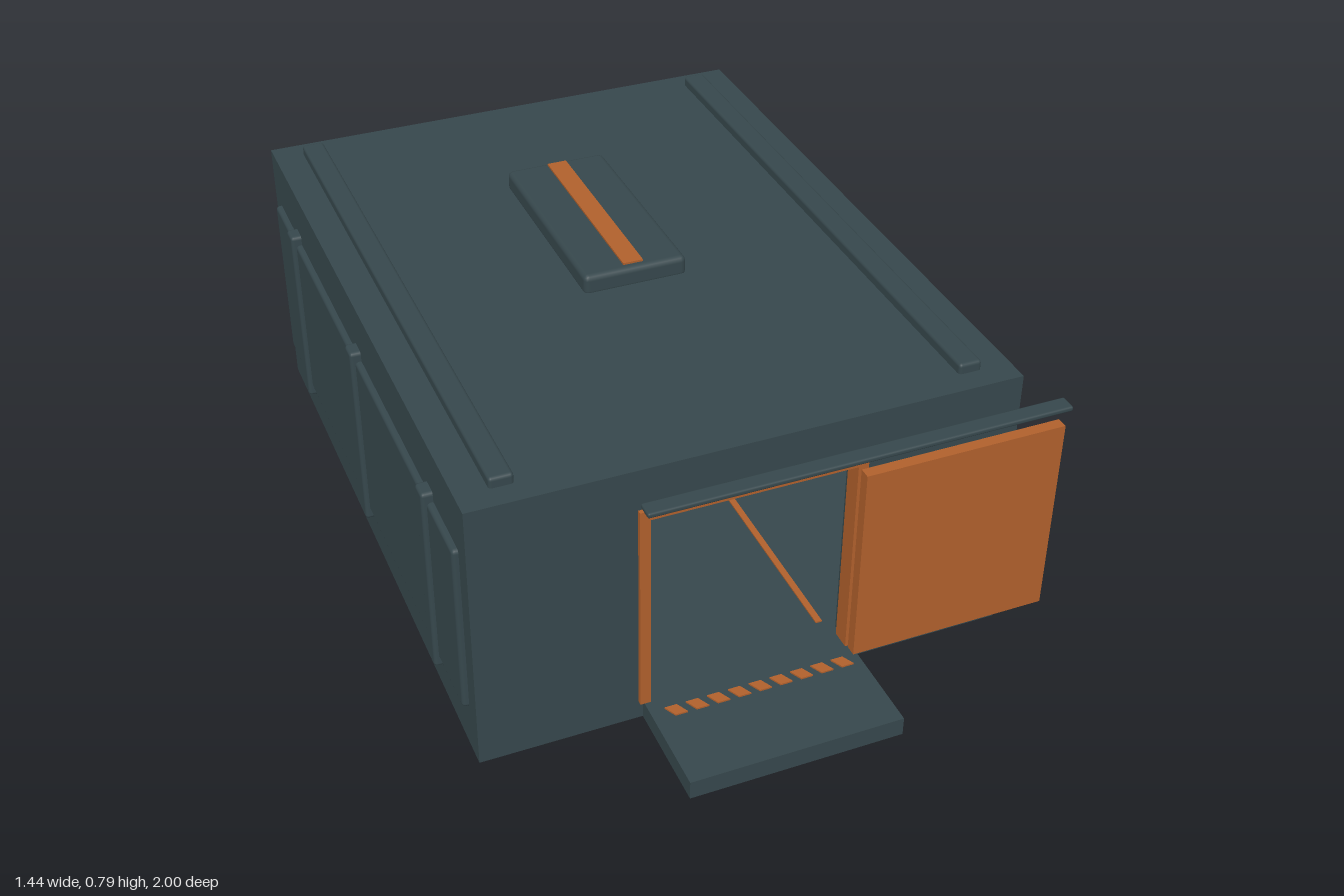
import * as THREE from 'three';
import { RoundedBoxGeometry } from 'three/addons/geometries/RoundedBoxGeometry.js';

export function createModel() {
  const model = new THREE.Group();
  model.name = 'shelterModule';

  const mat = (name, color) => {
    const m = new THREE.MeshStandardMaterial({ color });
    m.name = name;
    return m;
  };
  const hull = mat('slate hull', 0x36474c);
  const orange = mat('burnt orange', 0xb0602c);
  const teal = mat('teal display', 0x6cc4a5);

  const add = (name, geometry, material) => {
    const mesh = new THREE.Mesh(geometry, material);
    mesh.name = name;
    model.add(mesh);
    return mesh;
  };
  // Box given by its limits; a bevel radius rounds its edges
  const box = (name, material, [x0, x1], [y0, y1], [z0, z1], bevel = 0) => {
    const s = [x1 - x0, y1 - y0, z1 - z0];
    const g = bevel ? new RoundedBoxGeometry(...s, 2, bevel) : new THREE.BoxGeometry(...s);
    add(name, g, material).position.set((x0 + x1) / 2, (y0 + y1) / 2, (z0 + z1) / 2);
  };
  const rectangle = (Type, x0, x1, y0, y1) => new Type([
    [x0, y0], [x1, y0], [x1, y1], [x0, y1],
  ].map(([x, y]) => new THREE.Vector2(x, y)));

  const CX = -0.045; // middle of the hull in x
  const BACK = -0.94, FRONT = 0.727;
  const inner = [-0.61, 0.52];

  // Hull: a rectangular sleeve closed by a back wall and a front wall with a doorway
  const sleeve = rectangle(THREE.Shape, -0.695, 0.605, 0.037, 0.74);
  sleeve.holes.push(rectangle(THREE.Path, inner[0], inner[1], 0.085, 0.68));
  const sleeveGeo = new THREE.ExtrudeGeometry(sleeve, { depth: FRONT - BACK, bevelEnabled: false });
  add('hullSleeve', sleeveGeo.translate(0, 0, BACK), hull);
  box('backWall', hull, inner, [0.085, 0.68], [BACK, BACK + 0.07]);
  const frontWall = new THREE.Shape([
    [inner[0], 0.085], [-0.3, 0.085], [-0.3, 0.615], [0.21, 0.615],
    [0.21, 0.085], [inner[1], 0.085], [inner[1], 0.68], [inner[0], 0.68],
  ].map(([x, y]) => new THREE.Vector2(x, y)));
  const frontGeo = new THREE.ExtrudeGeometry(frontWall, { depth: 0.06, bevelEnabled: false });
  add('frontWall', frontGeo.translate(0, 0, FRONT - 0.06), hull);

  // Doorway frame, sliding door and its rail
  box('leftDoorPost', orange, [-0.315, -0.29], [0.085, 0.61], [0.69, 0.738]);
  box('rightDoorPost', orange, [0.2, 0.225], [0.085, 0.61], [0.69, 0.738]);
  box('doorLintel', orange, [-0.315, 0.225], [0.61, 0.635], [0.69, 0.738]);
  box('slidingDoor', orange, [0.205, 0.705], [0.085, 0.605], [0.742, 0.77]);
  box('doorRail', hull, [-0.31, 0.72], [0.641, 0.654], [0.727, 0.77], 0.005);

  // Entry step with slanted warning marks
  box('entryStep', hull, [-0.305, 0.215], [0.037, 0.085], [FRONT, 1]);
  for (let i = 0; i < 9; i++) {
    const mark = new THREE.Shape();
    mark.moveTo(0, 0);
    mark.lineTo(0.03, 0);
    mark.lineTo(0.045, 0.03);
    mark.lineTo(0.015, 0.03);
    mark.closePath();
    const g = new THREE.ExtrudeGeometry(mark, { depth: 0.004, bevelEnabled: false });
    g.rotateX(Math.PI / 2);
    add('warningMark', g.translate(-0.27 + i * 0.052, 0.089, 0.77), orange);
  }

  // Roof rails and ground skids
  for (const side of [-1, 1]) {
    const railX = CX + side * 0.5475, skidX = CX + side * 0.505;
    box('roofRail', hull, [railX - 0.028, railX + 0.028], [0.73, 0.765], [-0.89, 0.67], 0.008);
    box('groundSkid', hull, [skidX - 0.05, skidX + 0.05], [0, 0.045], [-0.845, 0.64], 0.01);
  }

  // Roof hatch with a light strip
  box('roofHatch', hull, [-0.175, 0.085], [0.73, 0.785], [-0.52, 0.045], 0.014);
  box('hatchStrip', orange, [-0.07, -0.02], [0.782, 0.79], [-0.505, 0.025]);

  // Side panels with three ribs each
  for (const side of [-1, 1]) {
    const span = (a, b) => [CX + side * a, CX + side * b].sort((p, q) => p - q);
    box('sidePanel', hull, span(0.63, 0.665), [0.16, 0.605], [-0.885, 0.675], 0.01);
    for (const z of [0.475, -0.103, -0.68])
      box('sideRib', hull, span(0.635, 0.677), [0.135, 0.63], [z - 0.025, z + 0.025], 0.009);
  }

  // Back panel with two marker lamps
  box('backPanel', hull, [-0.59, 0.5], [0.135, 0.61], [-0.967, -0.92], 0.012);
  for (const side of [-1, 1]) {
    const x = CX + side * 0.455;
    box('lampHousing', hull, [x - 0.056, x + 0.056], [0.38, 0.45], [-0.995, -0.95], 0.014);
    box('lampLens', orange, [x - 0.042, x + 0.042], [0.394, 0.436], [-1, -0.992]);
  }

  // Interior: desk, wall console, displays and floor strips
  const wallZ = BACK + 0.07;
  box('desk', hull, inner, [0.085, 0.285], [wallZ, -0.64]);
  box('deskTop', hull, inner, [0.285, 0.303], [wallZ, -0.62], 0.006);
  box('indicatorPanel', hull, [-0.195, 0.11], [0.46, 0.567], [wallZ - 0.01, wallZ + 0.04], 0.01);
  box('screenPanel', hull, [-0.185, 0.095], [0.307, 0.41], [wallZ - 0.01, wallZ + 0.04], 0.01);
  for (let i = 0; i < 7; i++) {
    const x = -0.168 + i * 0.0368;
    box('indicator', i ? teal : orange, [x, x + 0.024], [0.494, 0.536], [wallZ + 0.039, wallZ + 0.046]);
  }
  for (let i = 0; i < 3; i++) {
    const x = -0.169 + i * 0.089;
    box('screen', teal, [x, x + 0.071], [0.33, 0.389], [wallZ + 0.039, wallZ + 0.046]);
  }
  for (const side of [-1, 1]) {
    const x = CX + side * 0.225;
    box('floorStrip', orange, [x - 0.008, x + 0.008], [0.084, 0.089], [-0.6, 0.64]);
  }

  return model;
}
